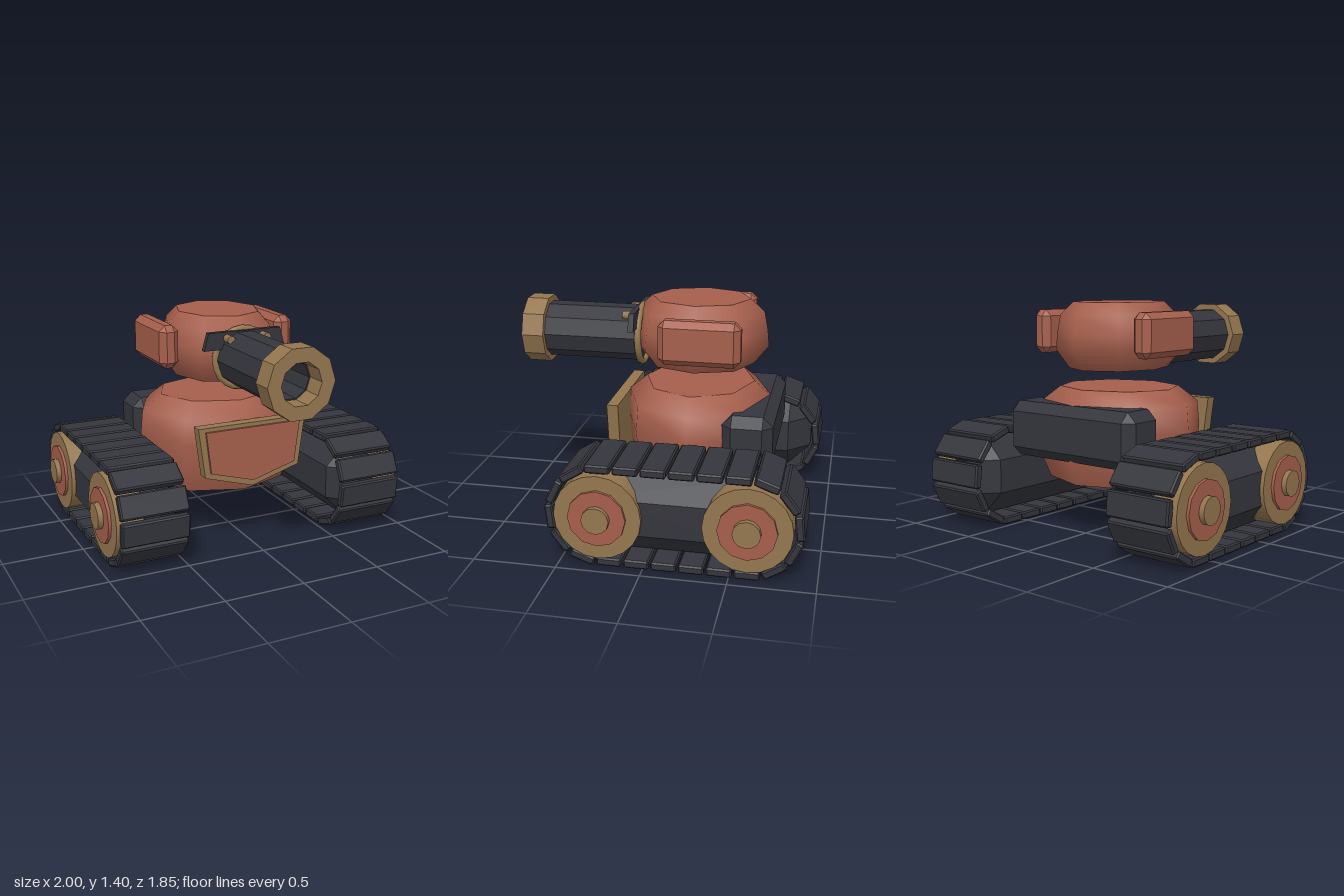
import * as THREE from 'three';
import { ConvexGeometry } from 'three/addons/geometries/ConvexGeometry.js';

const clay = new THREE.MeshStandardMaterial({ color: 0xa65f4c });
clay.name = 'clay red';
const brass = new THREE.MeshStandardMaterial({ color: 0x94764f });
brass.name = 'dull brass';
const iron = new THREE.MeshStandardMaterial({ color: 0x35363d });
iron.name = 'dark iron';

function add(parent, name, geometry, material, x = 0, y = 0, z = 0) {
  const mesh = new THREE.Mesh(geometry, material);
  mesh.name = name;
  mesh.position.set(x, y, z);
  parent.add(mesh);
  return mesh;
}

// Box with all edges cut at 45 degrees
function chamferBox(w, h, d, c) {
  const points = [];
  const [a, b, e] = [w / 2, h / 2, d / 2];
  for (const sx of [-1, 1]) for (const sy of [-1, 1]) for (const sz of [-1, 1]) {
    points.push(
      new THREE.Vector3(sx * a, sy * (b - c), sz * (e - c)),
      new THREE.Vector3(sx * (a - c), sy * b, sz * (e - c)),
      new THREE.Vector3(sx * (a - c), sy * (b - c), sz * e));
  }
  return new ConvexGeometry(points);
}

// Smooth eight-sided shell with flat caps; doubled points keep cap edges sharp
function shell(profile) {
  const pts = profile.map(([r, y]) => new THREE.Vector2(r, y));
  const first = pts[0], last = pts[pts.length - 1];
  return new THREE.LatheGeometry([
    new THREE.Vector2(0, first.y), first.clone(), ...pts, last.clone(), new THREE.Vector2(0, last.y),
  ], 8);
}

function extrude(corners, depth, hole) {
  const shape = new THREE.Shape(corners.map(([x, y]) => new THREE.Vector2(x, y)));
  if (hole) shape.holes.push(new THREE.Path(hole.map(([x, y]) => new THREE.Vector2(x, y))));
  return new THREE.ExtrudeGeometry(shape, { depth, bevelEnabled: false });
}

function decagon(r) {
  return Array.from({ length: 10 }, (_, i) => [r * Math.cos(i * Math.PI / 5), r * Math.sin(i * Math.PI / 5)]);
}

// Point and tilt on the track loop, measured from the top of the front wheel
const FRONT = 0.257, REAR = -0.604, AXLE = 0.325, LOOP = 0.288;
function trackPoint(s) {
  const straight = FRONT - REAR, arc = Math.PI * LOOP;
  if (s < arc) {
    const a = s / LOOP;
    return { z: FRONT + LOOP * Math.sin(a), y: AXLE + LOOP * Math.cos(a), tilt: a };
  }
  s -= arc;
  if (s < straight) return { z: FRONT - s, y: AXLE - LOOP, tilt: Math.PI };
  s -= straight;
  if (s < arc) {
    const a = Math.PI + s / LOOP;
    return { z: REAR + LOOP * Math.sin(a), y: AXLE + LOOP * Math.cos(a), tilt: a };
  }
  return { z: REAR + s - arc, y: AXLE + LOOP, tilt: 0 };
}

function buildTrack(side) {
  const track = new THREE.Group();
  track.name = side > 0 ? 'leftTrack' : 'rightTrack';
  add(track, 'trackCore', chamferBox(0.4, 0.51, 1.36, 0.15), iron, side * 0.725, AXLE, (FRONT + REAR) / 2);

  // Tread plates
  const plate = chamferBox(0.42, 0.05, 0.148, 0.009);
  const count = 22, total = 2 * (FRONT - REAR) + 2 * Math.PI * LOOP;
  for (let i = 0; i < count; i++) {
    const p = trackPoint(i * total / count);
    add(track, 'treadPlate', plate, iron, side * 0.725, p.y, p.z).rotation.x = p.tilt;
  }

  // Wheels: rim, disc and hub stepping outwards
  for (const z of [FRONT, REAR]) {
    for (const [name, r, outer, sides, mat] of [
      ['wheelRim', 0.257, 0.95, 20, brass],
      ['wheelDisc', 0.171, 0.968, 12, clay],
      ['wheelHub', 0.081, 1.0, 12, brass],
    ]) {
      const inner = 0.78;
      const wheel = add(track, name, new THREE.CylinderGeometry(r, r, outer - inner, sides), mat,
        side * (outer + inner) / 2, AXLE, z);
      wheel.rotation.z = Math.PI / 2;
    }
  }
  return track;
}

export function createModel() {
  const model = new THREE.Group();
  model.name = 'tracked robot';

  // Body
  const body = add(model, 'body', shell([
    [0.46, 0.32], [0.515, 0.45], [0.535, 0.64], [0.52, 0.795], [0.39, 0.89],
  ]), clay, 0, 0, -0.175);
  body.scale.z = 0.88;
  add(model, 'enginePack', chamferBox(0.98, 0.34, 0.305, 0.06), iron, 0, 0.637, -0.528);

  // Chest shield
  add(model, 'shieldFrame', extrude([
    [-0.363, 0.795], [-0.32, 0.48], [0, 0.385], [0.32, 0.48], [0.363, 0.795],
  ], 0.07), brass, 0, 0, 0.275);
  add(model, 'shieldPanel', extrude([
    [-0.318, 0.77], [-0.285, 0.507], [0, 0.425], [0.285, 0.507], [0.318, 0.77],
  ], 0.02), clay, 0, 0, 0.34);

  // Floating head
  const head = add(model, 'head', shell([
    [0.335, 1.005], [0.425, 1.12], [0.415, 1.22], [0.393, 1.335], [0.308, 1.412],
  ]), clay, 0, 0, -0.175);
  head.scale.x = 0.85;
  for (const side of [-1, 1]) {
    add(model, 'sidePod', chamferBox(0.125, 0.268, 0.49, 0.038), clay, side * 0.394, 1.226, -0.232);
  }

  // Cannon
  const CY = 1.167;
  add(model, 'barrelCollar', new THREE.TorusGeometry(0.18, 0.022, 8, 20), brass, 0, CY, 0.19);
  add(model, 'barrel', extrude(decagon(0.175), 0.6, decagon(0.12)), iron, 0, CY, 0.195);
  add(model, 'muzzle', extrude(decagon(0.214), 0.137, decagon(0.128)), brass, 0, CY, 0.787);

  // Brow plate and small sights on the barrel
  add(model, 'browPlate', extrude([
    [-0.27, 1.235], [0.27, 1.235], [0.24, 1.342], [-0.24, 1.342],
  ], 0.035), iron, 0, 0, 0.195);
  for (const side of [-1, 1]) {
    const sight = add(model, 'sight', new THREE.CylinderGeometry(0.025, 0.025, 0.07, 10), brass,
      side * 0.12, 1.303, 0.258);
    sight.rotation.x = Math.PI / 2;
  }

  // Tracks
  model.add(buildTrack(1), buildTrack(-1));
  return model;
}
